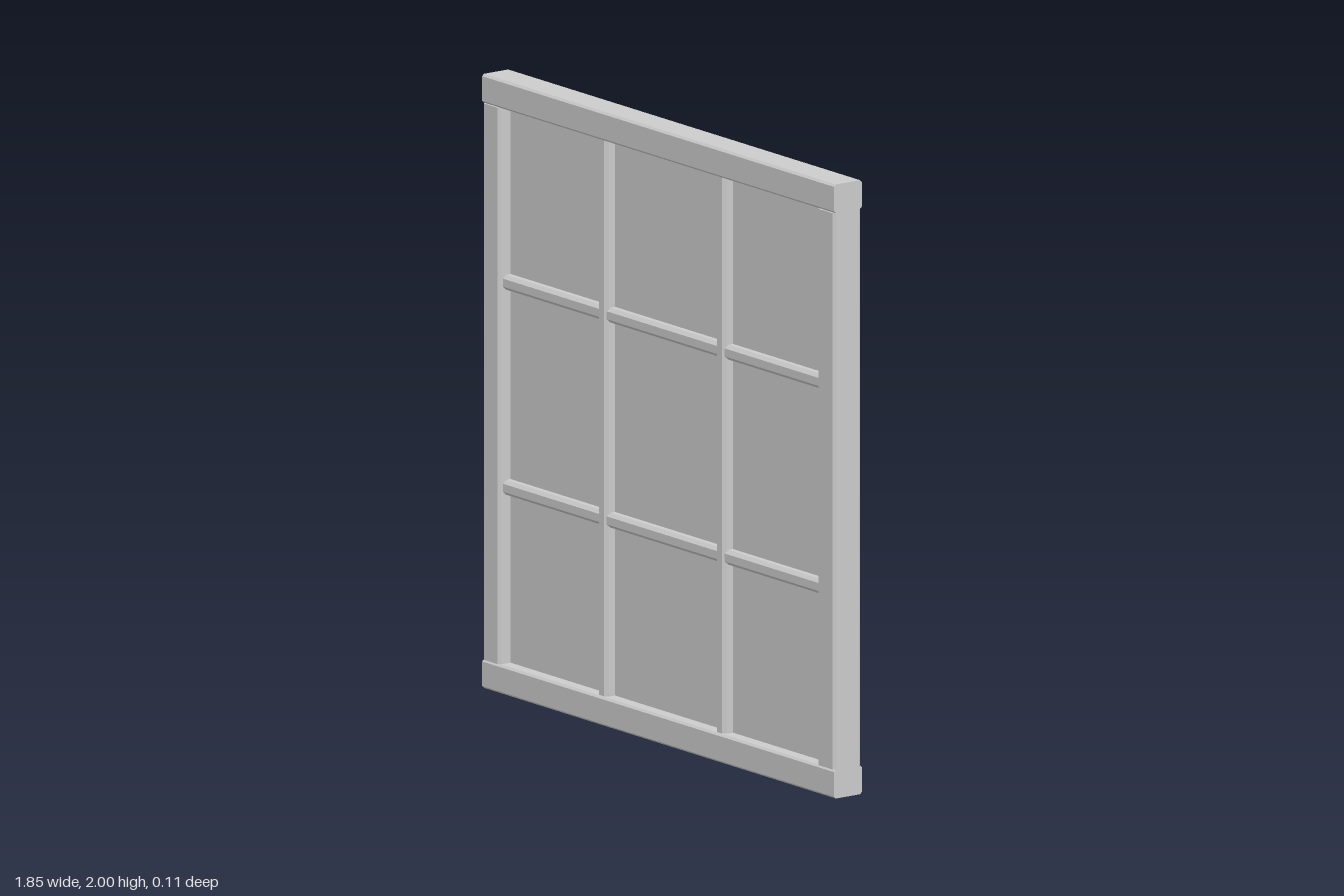
import * as THREE from 'three';

const material = new THREE.MeshStandardMaterial({ color: 0xcccccc, flatShading: true });

// Bar of the given length along x, with its four long edges chamfered
function bar(name, length, width, depth, chamfer) {
  const w = width / 2, d = depth / 2, c = chamfer;
  const profile = new THREE.Shape([
    [-d + c, -w], [d - c, -w], [d, -w + c], [d, w - c],
    [d - c, w], [-d + c, w], [-d, w - c], [-d, -w + c],
  ].map(([x, y]) => new THREE.Vector2(x, y)));
  const geometry = new THREE.ExtrudeGeometry(profile, { depth: length, bevelEnabled: false });
  geometry.translate(0, 0, -length / 2).rotateY(Math.PI / 2);
  const mesh = new THREE.Mesh(geometry, material);
  mesh.name = name;
  return mesh;
}

export function createModel() {
  const group = new THREE.Group();
  group.name = 'window';

  function horizontal(name, x, y, length, width, depth, chamfer) {
    const mesh = bar(name, length, width, depth, chamfer);
    mesh.position.set(x, y, 0);
    group.add(mesh);
  }
  function vertical(name, x, length, width, depth, chamfer) {
    const mesh = bar(name, length, width, depth, chamfer);
    mesh.rotation.z = Math.PI / 2;
    mesh.position.set(x, 1, 0);
    group.add(mesh);
  }

  // Top and bottom rails across the full width
  horizontal('topRail', 0, 1.953, 1.85, 0.094, 0.11, 0.007);
  horizontal('bottomRail', 0, 0.047, 1.85, 0.094, 0.11, 0.007);

  // Side stiles and upright glazing bars between the rails
  for (const [side, s] of [['right', -1], ['left', 1]]) {
    vertical(side + 'Stile', s * 0.88, 1.812, 0.09, 0.11, 0.009);
    vertical(side + 'UprightBar', s * 0.31, 1.812, 0.048, 0.09, 0.011);
  }

  // Cross bars, interrupted by the uprights
  for (const [row, y] of [['lower', 0.668], ['upper', 1.336]]) {
    horizontal(row + 'CrossBarRight', -0.5825, y, 0.505, 0.048, 0.08, 0.011);
    horizontal(row + 'CrossBarMiddle', 0, y, 0.58, 0.048, 0.08, 0.011);
    horizontal(row + 'CrossBarLeft', 0.5825, y, 0.505, 0.048, 0.08, 0.011);
  }

  // Thin pane behind the bars
  const pane = new THREE.Mesh(new THREE.BoxGeometry(1.69, 1.83, 0.02), material);
  pane.name = 'pane';
  pane.position.y = 1;
  group.add(pane);

  return group;
}
